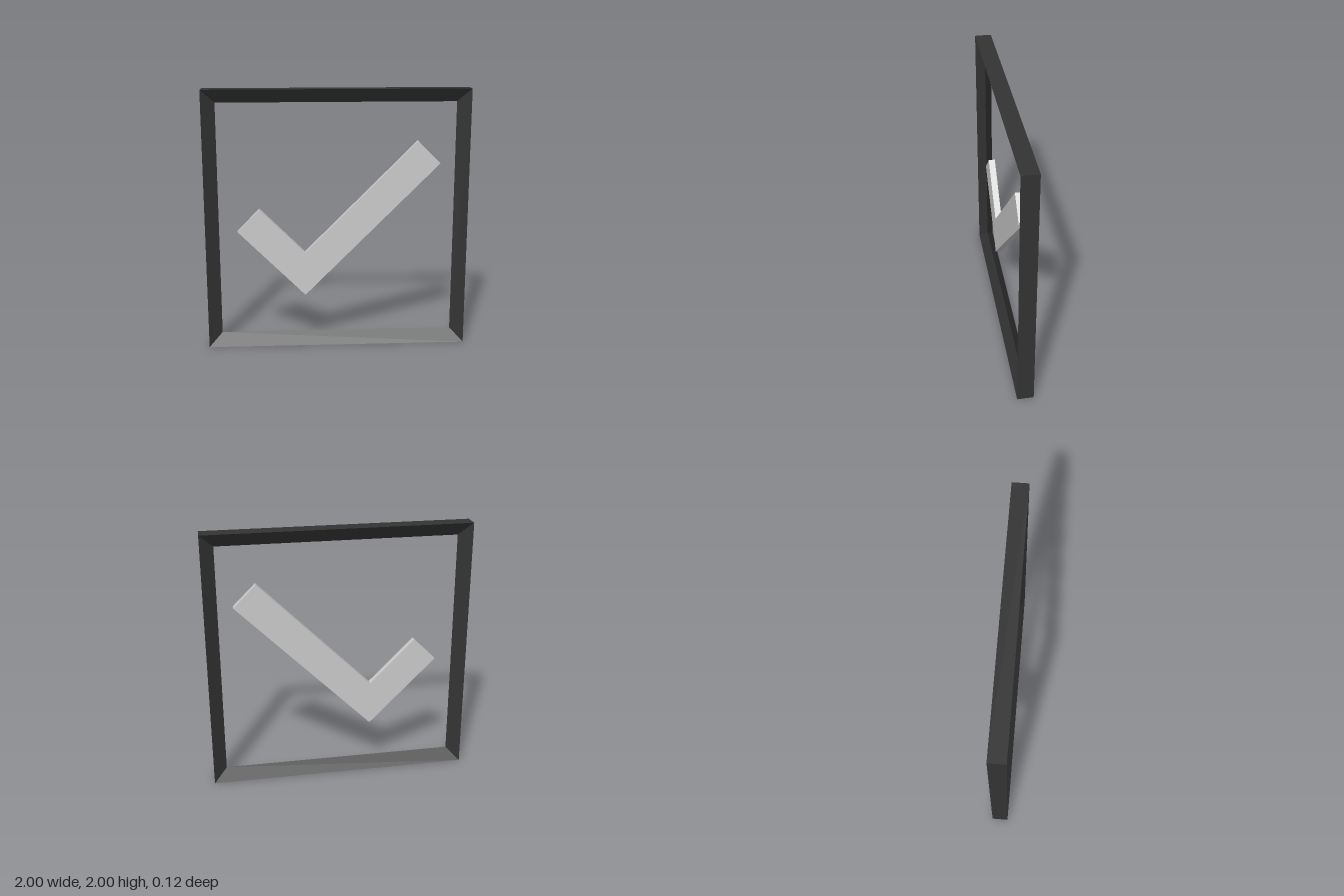
import * as THREE from 'three';

export function createModel() {
  const model = new THREE.Group();

  // Square frame: triangular section, flat outside and ridged inside, swept in four mitred sides
  const section = [[0.9, 0], [1, -0.0625], [1, 0.0625], [0.9, 0]]
    .map(([r, depth]) => new THREE.Vector2(r * Math.SQRT2, depth));
  const frame = new THREE.Mesh(
    new THREE.LatheGeometry(section, 4, Math.PI / 4)
      .rotateX(Math.PI / 2)
      .translate(0, 1, 0),
    new THREE.MeshStandardMaterial({ color: 0x333333, flatShading: true })
  );
  frame.name = 'frame';
  model.add(frame);

  // Check mark: a thin slab centred in the depth of the frame
  const outline = [
    [-0.76, 0.92], [-0.245, 0.405], [0.785, 1.435],
    [0.615, 1.605], [-0.245, 0.745], [-0.59, 1.09],
  ].map(([x, y]) => new THREE.Vector2(x, y));
  const thickness = 0.05;
  const checkMark = new THREE.Mesh(
    new THREE.ExtrudeGeometry(new THREE.Shape(outline), { depth: thickness, bevelEnabled: false })
      .translate(0, 0, -thickness / 2),
    new THREE.MeshStandardMaterial({ color: 0xcccccc, flatShading: true })
  );
  checkMark.name = 'checkMark';
  model.add(checkMark);

  return model;
}
